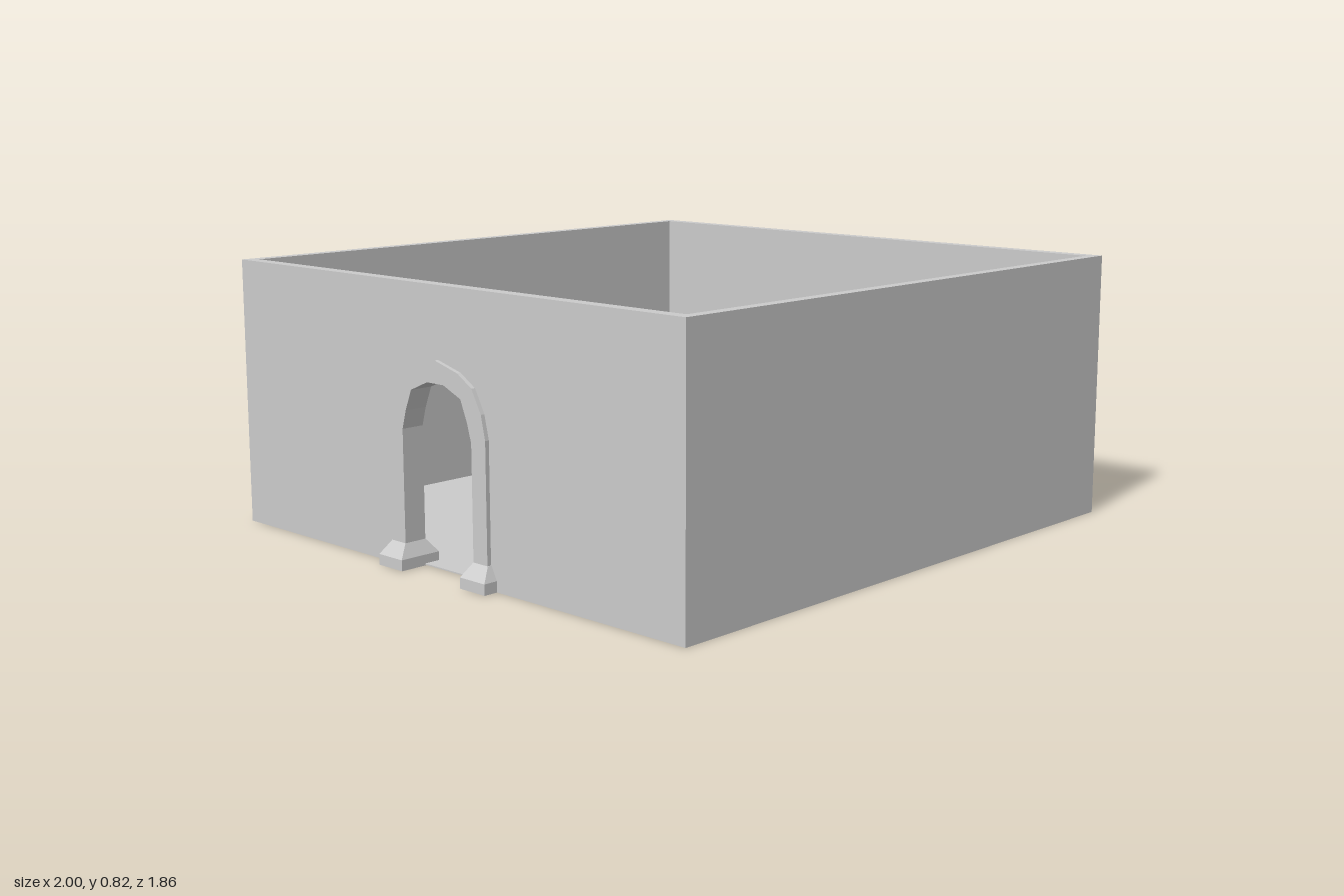
import * as THREE from 'three';

const material = new THREE.MeshStandardMaterial({ color: 0xcccccc, flatShading: true });
const H = 0.825, OUT_X = 0.955, IN_X = 0.915, OUT_Z = 0.932, IN_Z = 0.897;

function addMesh(parent, name, geometry, x = 0, y = 0, z = 0) {
  const mesh = new THREE.Mesh(geometry, material);
  mesh.name = name;
  mesh.position.set(x, y, z);
  parent.add(mesh);
  return mesh;
}

// Full symmetric outline from a half profile running from the foot to the crown
function mirrored(half) {
  const other = half.filter(([z]) => z > 0).reverse().map(([z, y]) => [-z, y]);
  return [...half, ...other];
}

// Extrude a (z, y) outline along x, between x0 and x1
function slab(points, x0, x1) {
  const shape = new THREE.Shape(points.map(([z, y]) => new THREE.Vector2(z, y)));
  const geometry = new THREE.ExtrudeGeometry(shape, { depth: x1 - x0, bevelEnabled: false });
  return geometry.rotateY(Math.PI / 2).translate(x0, 0, 0);
}

// Box whose top is narrowed to the given size
function taperedBox(w, h, d, topW, topD) {
  const geometry = new THREE.BoxGeometry(w, h, d);
  const p = geometry.attributes.position;
  for (let i = 0; i < p.count; i++) {
    if (p.getY(i) > 0) p.setXYZ(i, p.getX(i) * topW / w, p.getY(i), p.getZ(i) * topD / d);
  }
  geometry.computeVertexNormals();
  return geometry;
}

export function createModel() {
  const model = new THREE.Group();
  model.name = 'walledRoom';

  // Arch profiles: outer edge, inner edge and the hidden wall opening between them
  const outer = mirrored([[0.206, 0], [0.206, 0.42], [0.19, 0.49], [0.153, 0.557], [0.095, 0.592], [0, 0.617]]);
  const inner = mirrored([[0.148, 0], [0.148, 0.405], [0.132, 0.46], [0.106, 0.522], [0.035, 0.552]]);
  const opening = mirrored([[0.17, 0], [0.17, 0.41], [0.125, 0.535], [0.045, 0.575]]);

  // Floor
  addMesh(model, 'floor', new THREE.BoxGeometry(IN_X * 2, 0.004, IN_Z * 2), 0, 0.004, 0);

  // Solid front and back walls
  for (const [side, name] of [[1, 'frontWall'], [-1, 'backWall']]) {
    addMesh(model, name, new THREE.BoxGeometry(OUT_X * 2, H, OUT_Z - IN_Z), 0, H / 2, side * (OUT_Z + IN_Z) / 2);
  }

  // Side walls, each with an arched doorway
  for (const [side, name] of [[1, 'left'], [-1, 'right']]) {
    const wallOutline = [[IN_Z, 0], [IN_Z, H], [-IN_Z, H], [-IN_Z, 0], ...opening.slice().reverse()];
    const t = (OUT_X - IN_X) / 2;
    const mid = side * (OUT_X + IN_X) / 2;
    addMesh(model, name + 'Wall', slab(wallOutline, -t, t), mid);

    const doorway = new THREE.Group();
    doorway.name = name + 'Doorway';
    doorway.position.x = side * 0.932;
    model.add(doorway);
    addMesh(doorway, 'archFrame', slab([...outer, ...inner.slice().reverse()], -0.036, 0.036));

    // Pillar feet: low block with a sloped top
    for (const s of [1, -1]) {
      addMesh(doorway, 'footBlock', new THREE.BoxGeometry(0.136, 0.032, 0.102), 0, 0.016, s * 0.178);
      addMesh(doorway, 'footSlope', taperedBox(0.136, 0.04, 0.102, 0.073, 0.06), 0, 0.052, s * 0.178);
    }
  }
  return model;
}
